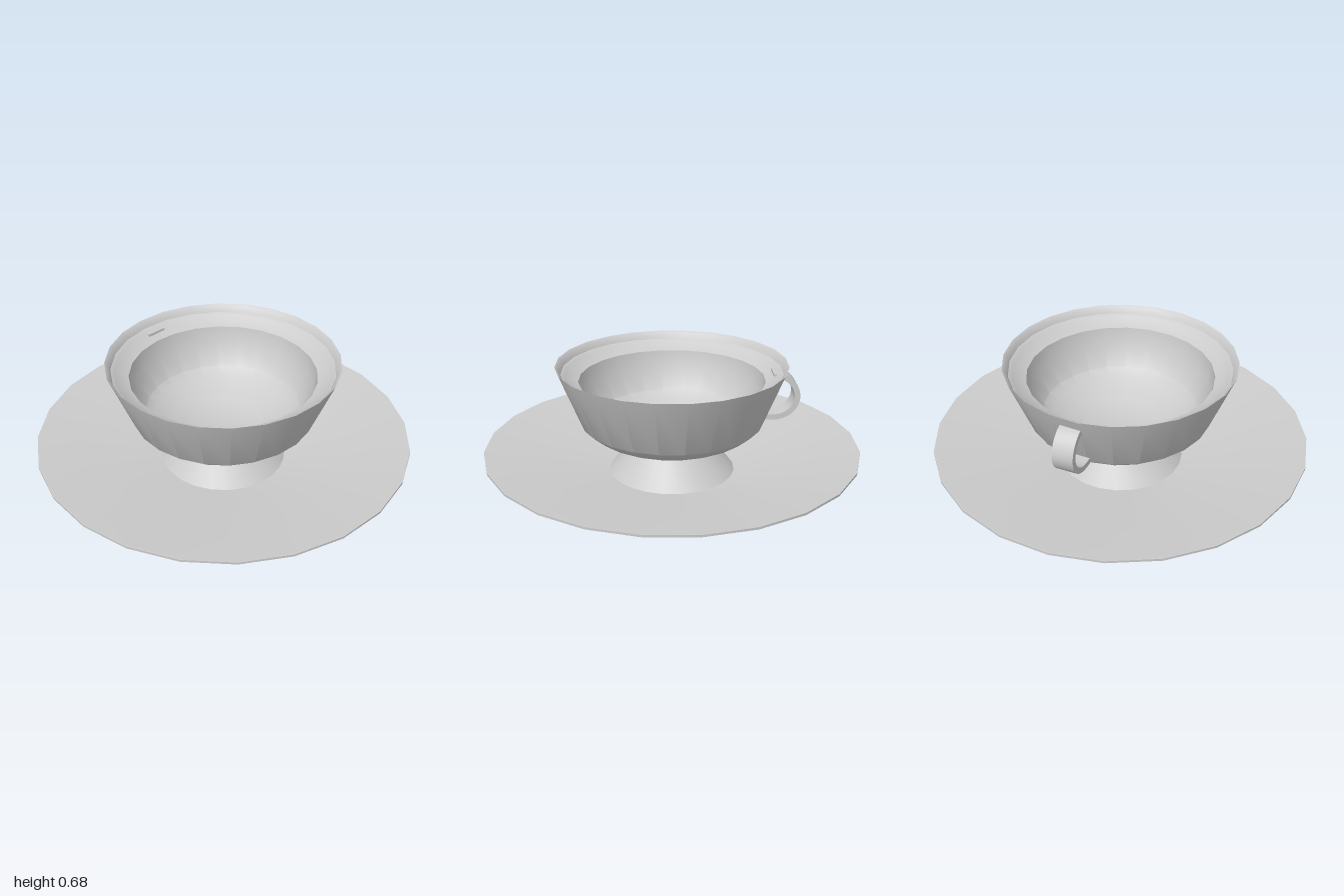
import * as THREE from 'three';
import { toCreasedNormals } from 'three/addons/utils/BufferGeometryUtils.js';

const material = new THREE.MeshStandardMaterial({ color: 0xcccccc, side: THREE.DoubleSide });
const SIDES = 24;
const TURN = THREE.MathUtils.degToRad(11.7);

function part(name, geometry, crease = 0.5) {
  const mesh = new THREE.Mesh(toCreasedNormals(geometry, crease), material);
  mesh.name = name;
  return mesh;
}

// Profiles are [radius, height], outside from the bottom up, then back down inside
function turned(name, profile) {
  const points = profile.map(([r, y]) => new THREE.Vector2(r, y));
  return part(name, new THREE.LatheGeometry(points, SIDES, TURN));
}

// C-shaped ribbon handle, swept outline given width
function makeHandle() {
  const path = new THREE.CatmullRomCurve3(
    [[0.53, 0.605], [0.59, 0.6], [0.64, 0.555], [0.66, 0.49], [0.635, 0.425], [0.57, 0.385], [0.45, 0.385]]
      .map(([r, y]) => new THREE.Vector3(r, y, 0)));
  const outer = [], inner = [], steps = 20, half = 0.015, width = 0.11;
  for (let i = 0; i <= steps; i++) {
    const p = path.getPoint(i / steps), t = path.getTangent(i / steps);
    outer.push(new THREE.Vector2(p.x - t.y * half, p.y + t.x * half));
    inner.unshift(new THREE.Vector2(p.x + t.y * half, p.y - t.x * half));
  }
  const geometry = new THREE.ExtrudeGeometry(new THREE.Shape([...outer, ...inner]),
    { depth: width, bevelEnabled: false });
  geometry.translate(0, 0, -width / 2);
  const handle = part('handle', geometry, 0.7);
  // Turn it to the back, slightly towards the right
  handle.rotation.y = Math.PI / 2 + THREE.MathUtils.degToRad(22);
  return handle;
}

export function createModel() {
  const model = new THREE.Group();
  model.name = 'cupAndSaucer';

  // Shallow cone on a hollow ring foot
  model.add(turned('saucer', [
    [0, 0.055], [0.245, 0.055], [0.245, 0], [0.265, 0], [0.265, 0.05],
    [1, 0.21], [1, 0.222], [0.99, 0.222], [0.337, 0.08], [0, 0.08],
  ]));

  const cup = new THREE.Group();
  cup.name = 'cup';
  // Flared foot standing in the saucer
  cup.add(turned('cupFoot', [[0.337, 0.08], [0.215, 0.228], [0.215, 0.24]]));
  // Bowl with a stepped inside
  cup.add(turned('bowl', [
    [0, 0.235], [0.23, 0.235], [0.3, 0.268], [0.36, 0.28], [0.42, 0.31], [0.485, 0.365], [0.608, 0.675],
    [0.595, 0.665], [0.58, 0.635], [0.56, 0.625], [0.545, 0.61], [0.49, 0.59],
    [0.475, 0.5], [0.41, 0.38], [0.36, 0.345], [0.31, 0.32], [0.27, 0.3], [0.22, 0.285], [0.19, 0.27], [0, 0.27],
  ]));
  cup.add(makeHandle());
  model.add(cup);
  return model;
}
